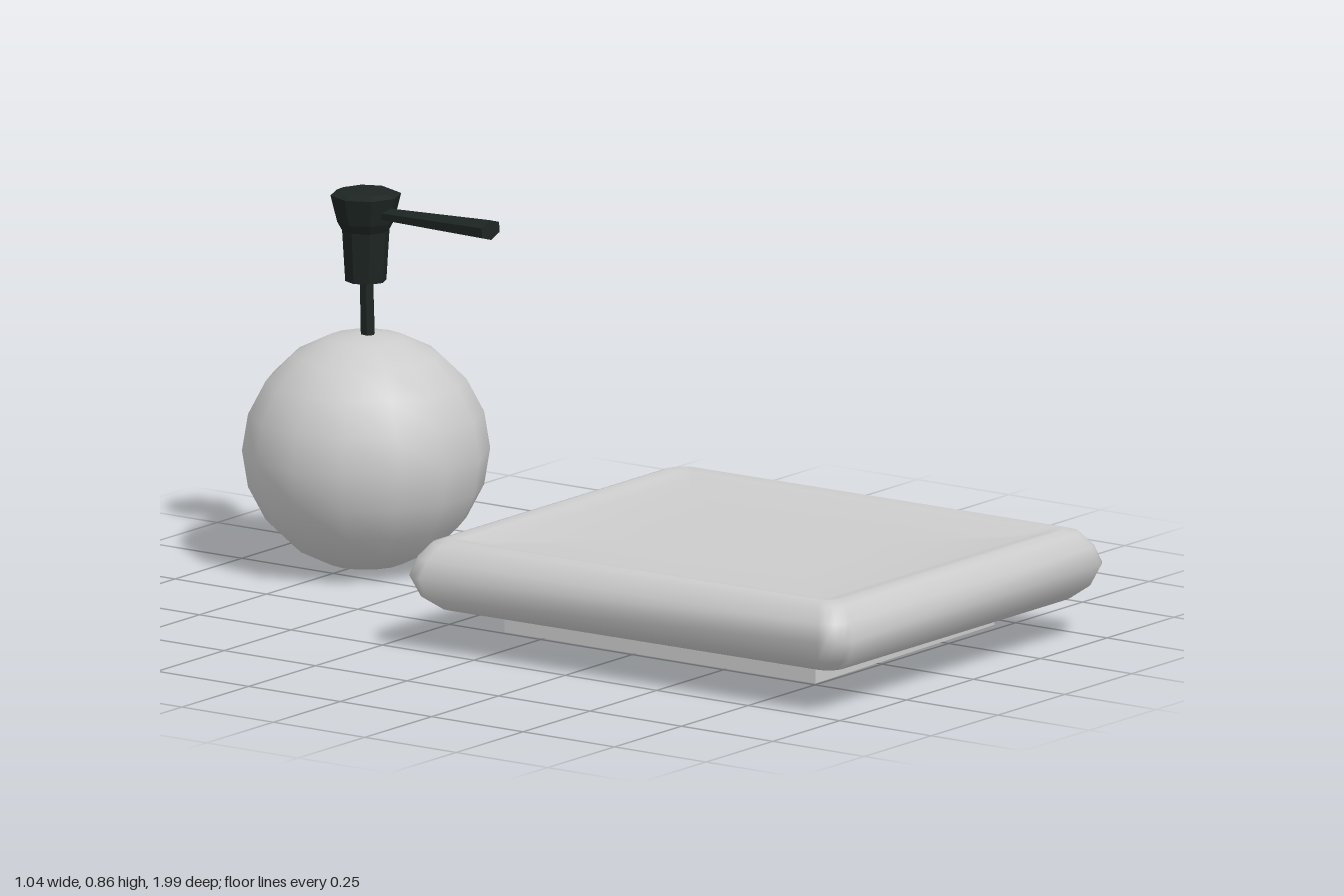
import * as THREE from 'three';

const pale = new THREE.MeshStandardMaterial({ color: 0xcccccc });
const dark = new THREE.MeshStandardMaterial({ color: 0x1d2522, flatShading: true });

function add(group, name, geometry, material) {
  const mesh = new THREE.Mesh(geometry, material);
  mesh.name = name;
  group.add(mesh);
  return mesh;
}

// Rounded-rectangle loop around the slab, pulled in by an inset
function slabLoop(inset, y, perCorner = 5) {
  const r = Math.max(0.055 - inset * 0.3, 0.01);
  const hx = 0.513 - inset, hz = 0.594 - inset;
  const points = [];
  for (let c = 0; c < 4; c++) {
    const sx = c === 0 || c === 3 ? 1 : -1, sz = c < 2 ? 1 : -1;
    for (let i = 0; i < perCorner; i++) {
      const a = (c + i / (perCorner - 1)) * Math.PI / 2;
      const x = sx * (hx - r) + r * Math.cos(a);
      const z = sz * (hz - r) + r * Math.sin(a);
      // slight skew of the sides
      points.push(x + 0.008 * z / 0.594, y, z + 0.405);
    }
  }
  return points;
}

// Soft cushion-like slab with a gently dished top
function slabGeometry() {
  const profile = [
    [0.3, 0.09], [0.09, 0.09], [0.055, 0.094], [0.02, 0.122], [0, 0.17],
    [0.014, 0.21], [0.04, 0.242], [0.065, 0.25], [0.09, 0.246], [0.13, 0.236], [0.3, 0.231],
  ];
  const position = [], index = [], n = 20;
  profile.forEach(([inset, y]) => position.push(...slabLoop(inset, y)));
  for (let k = 0; k < profile.length - 1; k++) {
    for (let i = 0; i < n; i++) {
      const a = k * n + i, b = k * n + (i + 1) % n;
      index.push(a, a + n, b, b, a + n, b + n);
    }
  }
  // close underside and top
  const last = (profile.length - 1) * n, centre = position.length / 3;
  position.push(0, 0.09, 0.405, 0, 0.23, 0.405);
  for (let i = 0; i < n; i++) {
    const j = (i + 1) % n;
    index.push(centre, i, j, centre + 1, last + j, last + i);
  }
  const g = new THREE.BufferGeometry();
  g.setAttribute('position', new THREE.Float32BufferAttribute(position, 3));
  g.setIndex(index);
  g.computeVertexNormals();
  return g;
}

export function createModel() {
  const model = new THREE.Group();
  model.name = 'slabAndLeverBall';

  // Slab on its slightly tilted plinth
  add(model, 'slab', slabGeometry(), pale);
  const plinth = add(model, 'plinth', new THREE.BoxGeometry(0.67, 0.07, 0.85), pale);
  plinth.position.set(-0.023, 0.074, 0.405);
  plinth.rotation.z = 0.011;

  // Ball behind the slab
  const ball = add(model, 'ball', new THREE.SphereGeometry(1, 14, 10), pale);
  ball.scale.set(0.278, 0.267, 0.272);
  ball.position.set(0.094, 0.268, -0.729);

  // Lever handle on top of the ball
  const handle = new THREE.Group();
  handle.name = 'leverHandle';
  model.add(handle);

  const stem = add(handle, 'stem', new THREE.CylinderGeometry(0.016, 0.017, 0.16, 6), dark);
  stem.position.set(0.086, 0.585, -0.72);
  stem.rotation.z = 0.04;

  const headProfile = [
    [0, 0.65], [0.046, 0.655], [0.053, 0.77], [0.064, 0.79], [0.079, 0.85], [0.06, 0.858], [0, 0.86],
  ].map(([r, y]) => new THREE.Vector2(r, y));
  const head = add(handle, 'leverHead', new THREE.LatheGeometry(headProfile, 8), dark);
  head.position.set(0.078, 0, -0.718);

  // Flattened arm, widening toward its tip
  const from = new THREE.Vector3(0.076, 0.812, -0.68);
  const to = new THREE.Vector3(0.055, 0.822, -0.36);
  const path = to.clone().sub(from);
  const armGeometry = new THREE.CylinderGeometry(0.035, 0.022, path.length(), 6);
  armGeometry.scale(1, 1, 0.65);
  const arm = add(handle, 'leverArm', armGeometry, dark);
  arm.position.copy(from).add(to).multiplyScalar(0.5);
  arm.quaternion.setFromUnitVectors(new THREE.Vector3(0, 1, 0), path.normalize());

  return model;
}
